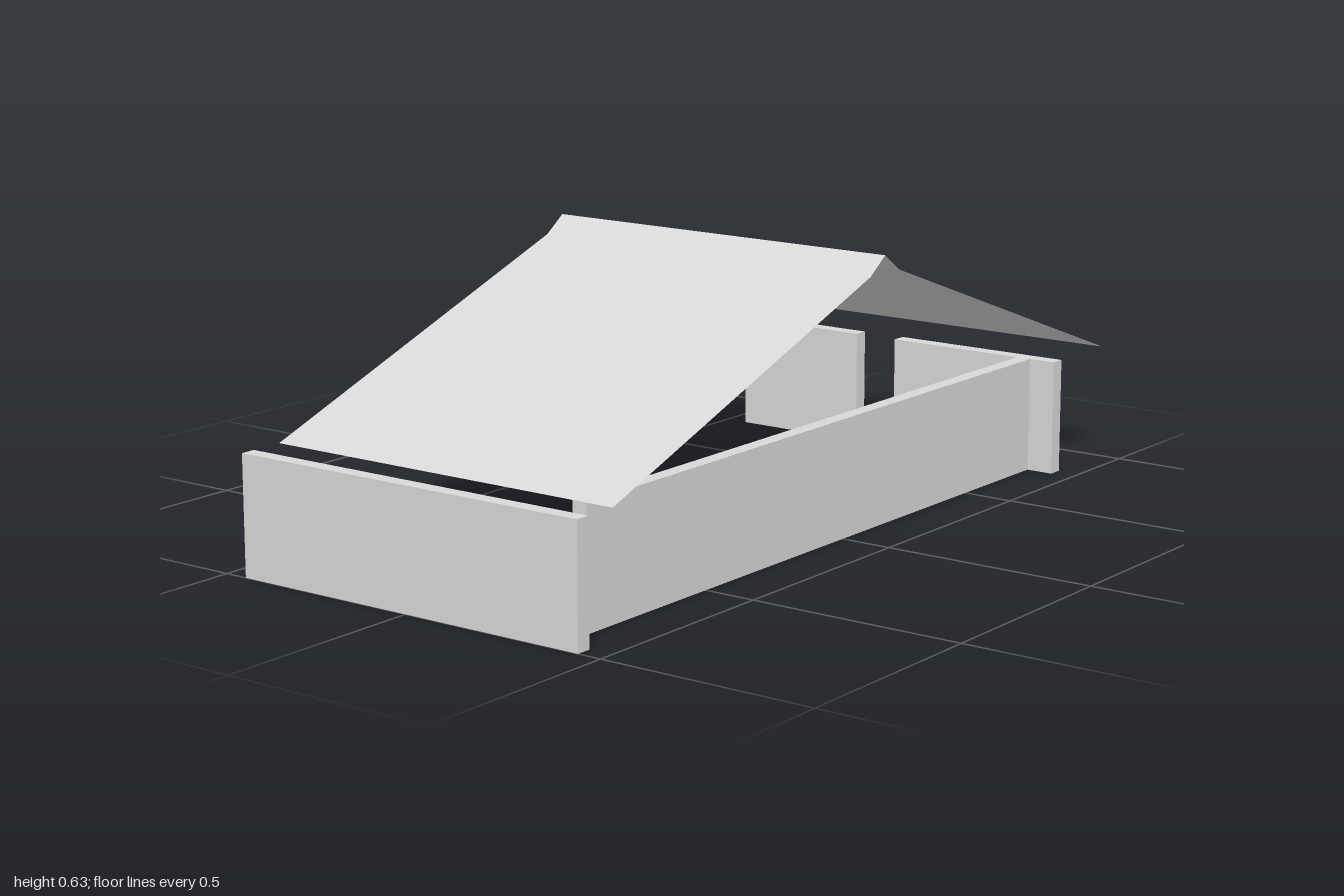
import * as THREE from 'three';

export function createModel() {
  const group = new THREE.Group();
  group.name = 'shelter';
  const grey = new THREE.MeshStandardMaterial({ color: 0xd8d8d8, side: THREE.DoubleSide });
  grey.name = 'light grey';

  const HALF = 0.445, WALL_H = 0.268;

  // Upright wall board standing on the ground, given by its plan extents
  function wall(name, x0, x1, z0, z1) {
    const mesh = new THREE.Mesh(new THREE.BoxGeometry(x1 - x0, WALL_H, z1 - z0), grey);
    mesh.position.set((x0 + x1) / 2, WALL_H / 2, (z0 + z1) / 2);
    mesh.name = name;
    group.add(mesh);
  }
  wall('frontWall', -HALF, HALF, 0.965, 1.0);
  wall('leftSideWall', 0.345, 0.38, -0.775, 0.89);
  wall('backWallLeft', 0, HALF, -0.81, -0.775);
  wall('backWallRight', -HALF, -0.11, -0.81, -0.775);

  // Thin roof sheet folded along a [z, y] profile, from back eave to front eave
  const profile = [[-1, WALL_H], [-0.11, 0.588], [-0.055, 0.627], [0, 0.588], [0.89, WALL_H]];
  const sheet = new THREE.PlaneGeometry(HALF * 2, 1, 1, profile.length - 1);
  const pos = sheet.attributes.position;
  for (let i = 0; i < pos.count; i++) {
    const [z, y] = profile[Math.floor(i / 2)];
    pos.setXYZ(i, pos.getX(i), y, z);
  }
  const folded = sheet.toNonIndexed();
  folded.computeVertexNormals();
  const roof = new THREE.Mesh(folded, grey);
  roof.name = 'roof';
  group.add(roof);

  return group;
}
